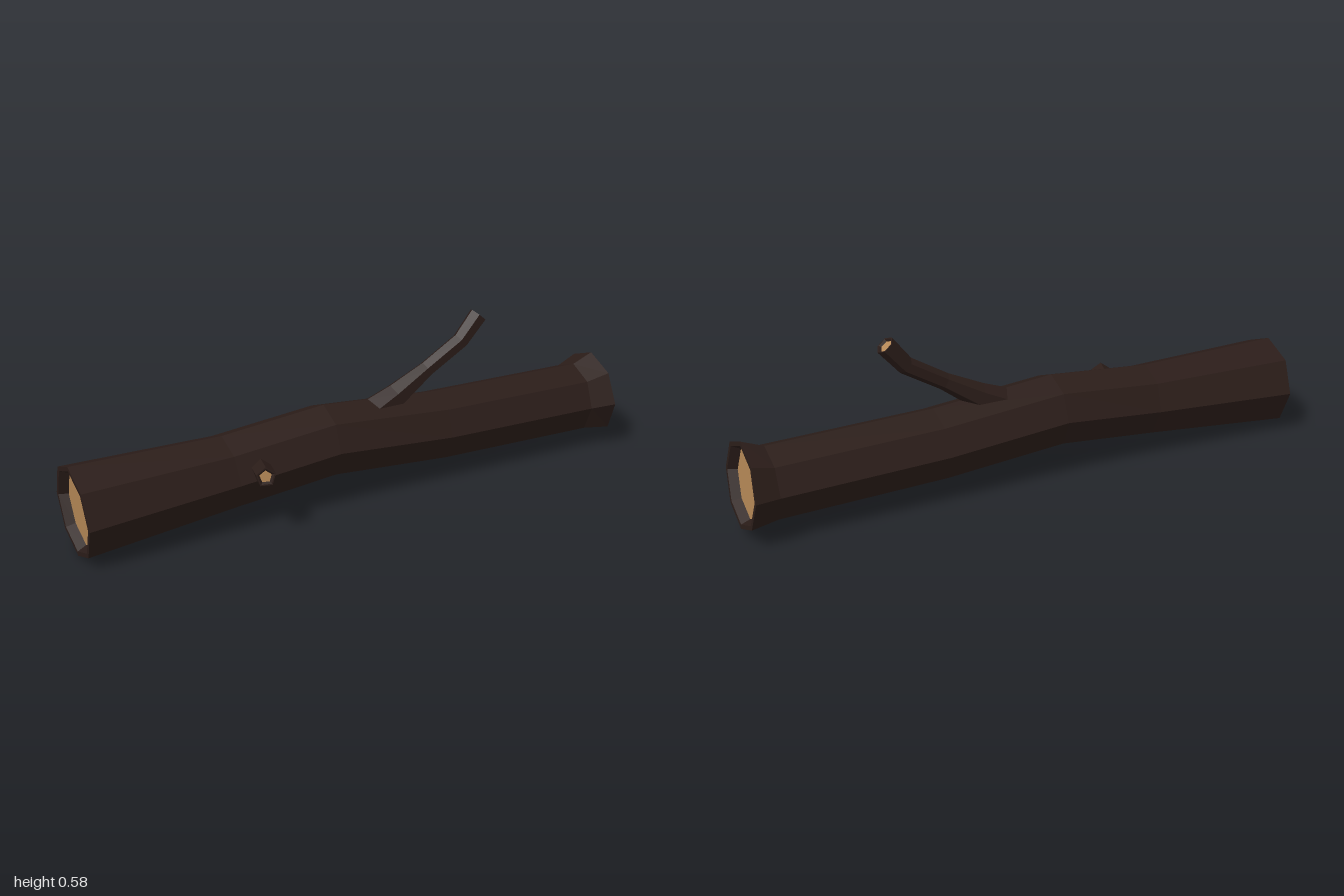
import * as THREE from 'three';

const bark = new THREE.MeshStandardMaterial({ color: 0x2b1d19, flatShading: true });
const wood = new THREE.MeshStandardMaterial({ color: 0xb58856, flatShading: true });
const Z = -0.022; // depth of the trunk's centre line

// A ring is { c: centre, d: axis direction, r: radius }
const ring = (c, d, r) => ({ c: new THREE.Vector3(...c), d: new THREE.Vector3(...d).normalize(), r });

// Same ring with a new radius, slid along its axis
const moved = (k, r, slide = 0) => ({ c: k.c.clone().addScaledVector(k.d, slide), d: k.d, r });

// Faceted skin through a list of rings, first corner of each pointing up
function skin(rings, sides, material, name) {
  const pos = [];
  const corner = (k, j) => {
    const u = new THREE.Vector3(0, 1, 0).addScaledVector(k.d, -k.d.y).normalize();
    const v = new THREE.Vector3().crossVectors(k.d, u);
    const a = (j / sides) * Math.PI * 2;
    return k.c.clone().addScaledVector(u, k.r * Math.cos(a)).addScaledVector(v, k.r * Math.sin(a)).toArray();
  };
  for (let i = 0; i < rings.length - 1; i++) {
    const [p, q] = [rings[i], rings[i + 1]];
    for (let j = 0; j < sides; j++) {
      const [a, b, c, d] = [corner(p, j), corner(p, j + 1), corner(q, j + 1), corner(q, j)];
      if (p.r > 0) pos.push(...a, ...b, ...(q.r > 0 ? c : d));
      if (q.r > 0) pos.push(...a, ...c, ...d);
    }
  }
  const geometry = new THREE.BufferGeometry();
  geometry.setAttribute('position', new THREE.Float32BufferAttribute(pos, 3));
  geometry.computeVertexNormals();
  const mesh = new THREE.Mesh(geometry, material);
  mesh.name = name;
  return mesh;
}

// Bark tube whose cut ends have a rim and a sunken disc of pale wood
function limb(name, rings, sides, rim, cut, depth, cutStart) {
  const group = new THREE.Group();
  group.name = name;
  const all = [...rings];
  const last = rings[rings.length - 1];
  const end = moved(last, last.r * cut, -depth);
  all.push(moved(last, last.r * rim), end);
  group.add(skin([end, moved(end, 0)], sides, wood, name + 'EndCut'));
  if (cutStart) {
    const first = rings[0];
    const start = moved(first, first.r * cut, depth);
    all.unshift(start, moved(first, first.r * rim));
    group.add(skin([moved(start, 0), start], sides, wood, name + 'StartCut'));
  }
  group.add(skin(all, sides, bark, name + 'Bark'));
  return group;
}

export function createModel() {
  const model = new THREE.Group();
  model.name = 'log';

  // Bent trunk, flared at both ends
  model.add(limb('trunk', [
    ring([-0.993, 0.159, Z], [1, 0.04, 0], 0.158),
    ring([-0.47, 0.183, Z], [1, 0.08, 0], 0.128),
    ring([-0.11, 0.217, Z], [1, 0, 0], 0.128),
    ring([0.32, 0.183, Z], [1, -0.05, 0], 0.126),
    ring([0.9, 0.172, Z], [1, -0.01, 0], 0.127),
    ring([0.986, 0.18, Z], [1, 0.06, 0], 0.15),
  ], 8, 0.9, 0.805, 0.03, true));

  // Long side branch rising from the top
  model.add(limb('branch', [
    ring([0.08, 0.28, Z], [1, 0.5, 0], 0.056),
    ring([0.165, 0.325, Z], [1, 0.55, 0], 0.044),
    ring([0.285, 0.398, Z], [1, 0.6, 0], 0.029),
    ring([0.418, 0.478, Z], [1, 0.85, 0], 0.03),
    ring([0.487, 0.56, Z], [0.7, 0.8, 0], 0.033),
  ], 6, 0.88, 0.72, 0.008, false));

  // Short broken stub on the front
  model.add(limb('stub', [
    ring([-0.378, 0.213, 0.03], [-0.24, 0.13, 0.97], 0.034),
    ring([-0.413, 0.229, 0.17], [-0.24, 0.13, 0.97], 0.034),
  ], 5, 0.85, 0.62, 0.008, false));

  return model;
}
